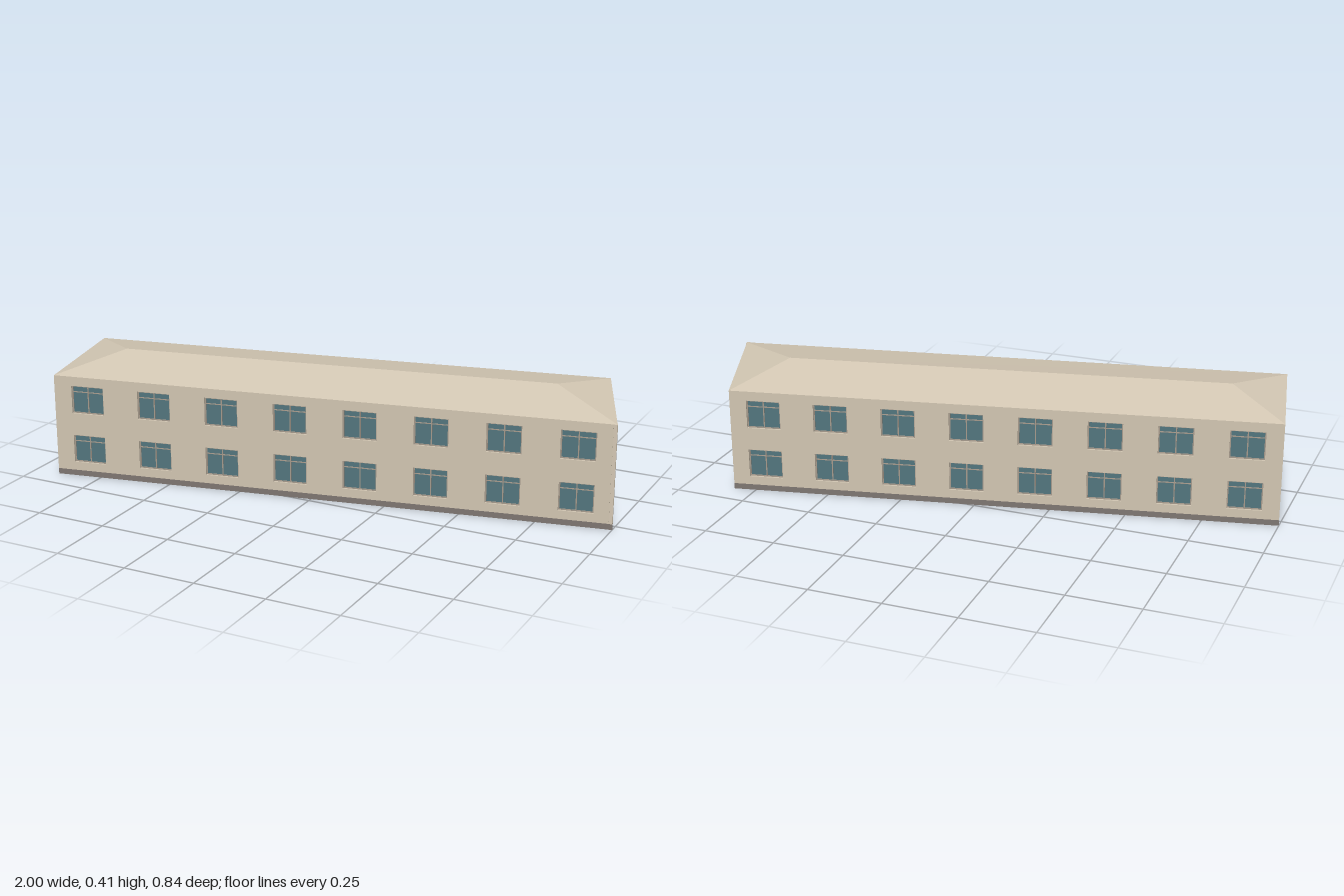
import * as THREE from 'three';

const EAVE = 0.363, RIDGE = 0.405, PLINTH = 0.02, DEPTH = 0.012;

function material(name, color) {
  const m = new THREE.MeshStandardMaterial({ color, side: THREE.DoubleSide });
  m.name = name;
  return m;
}

function addBox(parent, name, mat, w, h, d, x, y, z) {
  const mesh = new THREE.Mesh(new THREE.BoxGeometry(w, h, d), mat);
  mesh.name = name;
  mesh.position.set(x, y, z);
  parent.add(mesh);
}

export function createModel() {
  const wallMat = material('wall plaster', 0xd4c8b4);
  const roofMat = material('roof', 0xd6cab6);
  const plinthMat = material('plinth stone', 0x807873);
  const glassMat = material('window glass', 0x54777f);
  const frameMat = material('window frame', 0xa89c8e);

  const model = new THREE.Group();
  model.name = 'building';

  // Footprint corners [x, z], counter-clockwise seen from above
  const corners = [[-0.905, 0.418], [1, 0.032], [0.825, -0.418], [-1, -0.034]];

  // One window, recessed behind the wall face
  function makeWindow(w, h) {
    const g = new THREE.Group();
    g.name = 'window';
    const t = 0.004, z = -0.009;
    addBox(g, 'glass', glassMat, w, h, 0.002, 0, 0, -0.0108);
    for (const s of [-1, 1]) {
      addBox(g, 'frameSide', frameMat, t, h, t, s * (w - t) / 2, 0, z);
      addBox(g, 'frameRail', frameMat, w, t, t, 0, s * (h - t) / 2, z);
    }
    addBox(g, 'mullion', frameMat, t, h, t, 0, 0, z);
    addBox(g, 'transom', frameMat, w, 0.003, t, 0, h * 0.27, z);
    return g;
  }

  // Wall between two corners, with two storeys of window openings
  function makeWall(name, a, b, count, w) {
    const dx = b[0] - a[0], dz = b[1] - a[1], length = Math.hypot(dx, dz);
    const g = new THREE.Group();
    g.name = name;
    g.position.set(a[0], 0, a[1]);
    g.rotation.y = Math.atan2(-dz, dx);

    const shape = new THREE.Shape();
    shape.moveTo(0, PLINTH).lineTo(length, PLINTH).lineTo(length, EAVE).lineTo(0, EAVE).closePath();
    const h = 0.1;
    for (const y of [0.1, 0.28]) {
      for (let i = 0; i < count; i++) {
        const x = length * (i + 0.5) / count;
        const hole = new THREE.Path();
        hole.moveTo(x - w / 2, y - h / 2).lineTo(x - w / 2, y + h / 2)
          .lineTo(x + w / 2, y + h / 2).lineTo(x + w / 2, y - h / 2).closePath();
        shape.holes.push(hole);
        const win = makeWindow(w, h);
        win.position.set(x, y, 0);
        g.add(win);
      }
    }
    const geo = new THREE.ExtrudeGeometry(shape, { depth: DEPTH, bevelEnabled: false });
    geo.translate(0, 0, -DEPTH);
    const wall = new THREE.Mesh(geo, wallMat);
    wall.name = 'wallPanel';
    g.add(wall);
    addBox(g, 'plinth', plinthMat, length, PLINTH, DEPTH, length / 2, PLINTH / 2, -DEPTH / 2);
    model.add(g);
  }

  ['frontWall', 'leftWall', 'backWall', 'rightWall'].forEach((name, i) => {
    const long = i % 2 === 0;
    makeWall(name, corners[i], corners[(i + 1) % 4], long ? 8 : 2, long ? 0.117 : 0.071);
  });

  // Shallow hipped roof
  const [A, B, C, D] = corners.map(([x, z]) => [x, EAVE, z]);
  const R1 = [-0.775, RIDGE, 0.155], R2 = [0.725, RIDGE, -0.157];
  const faces = [A, B, R2, A, R2, R1, B, C, R2, C, D, R1, C, R1, R2, D, A, R1];
  const roofGeo = new THREE.BufferGeometry();
  roofGeo.setAttribute('position', new THREE.Float32BufferAttribute(faces.flat(), 3));
  roofGeo.computeVertexNormals();
  const roof = new THREE.Mesh(roofGeo, roofMat);
  roof.name = 'roof';
  model.add(roof);

  return model;
}
